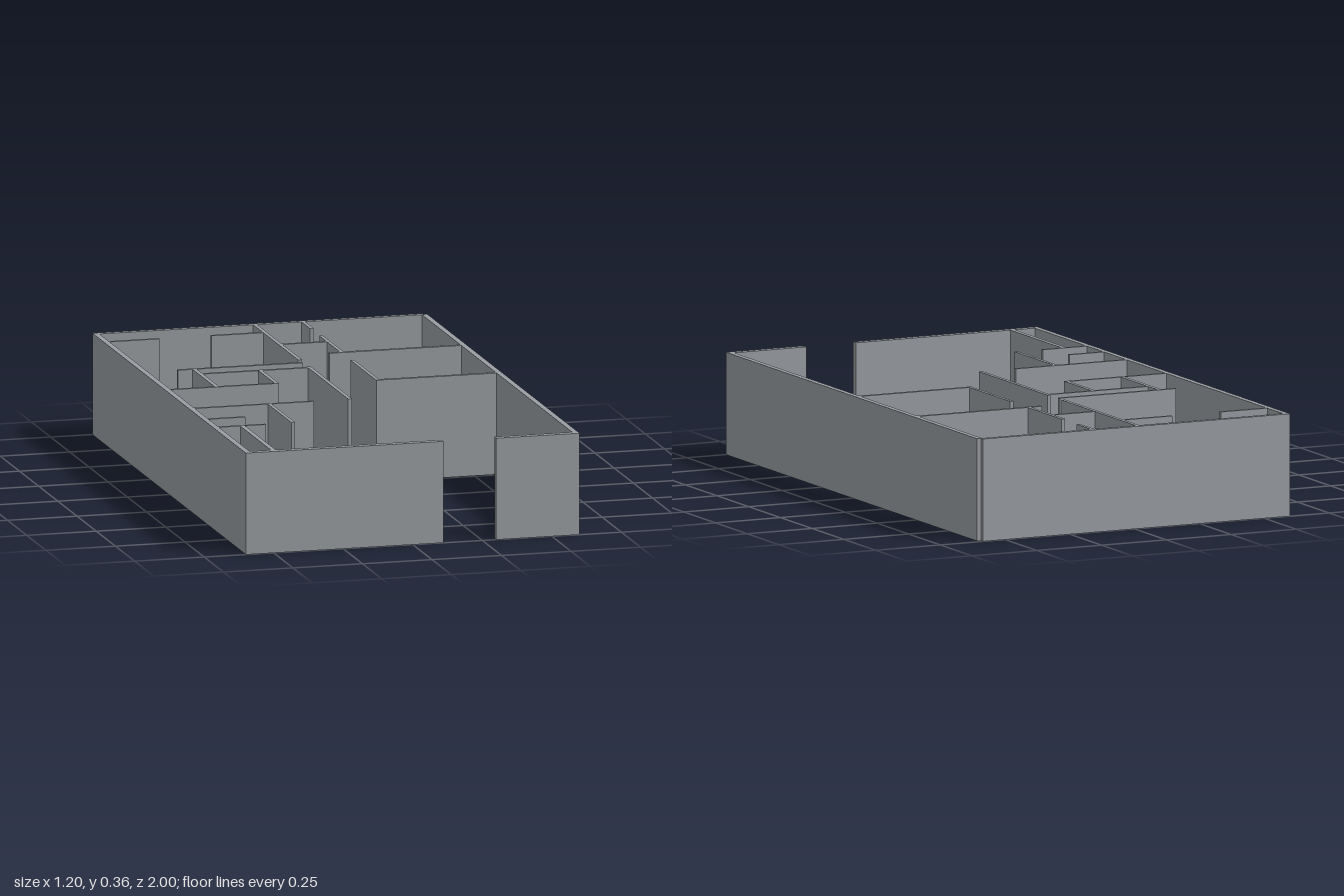
import * as THREE from 'three';

const HEIGHT = 0.36;

// Each wall is a plan rectangle: [name, x min, x max, z min, z max]
const OUTER = [
  ['leftSideOuterWall', 0.58, 0.6, -0.985, 1],
  ['rightSideOuterWall', -0.6, -0.58, -0.98, 1],
  ['backOuterWall', -0.6, 0.585, -1, -0.98],
  ['frontOuterWallLong', -0.58, 0.11, 0.975, 1],
  ['frontOuterWallShort', 0.3, 0.58, 0.975, 1],
];

const INNER = [
  // back rooms
  ['closetWallA', -0.58, -0.4, -0.861, -0.848],
  ['closetWallB', -0.214, -0.027, -0.861, -0.848],
  ['backHallWall', -0.027, -0.013, -0.98, -0.395],
  ['backDoorStub', 0.147, 0.16, -0.98, -0.87],
  ['backRoomWall', 0.147, 0.16, -0.75, -0.484],
  ['storeWall', -0.013, 0.147, -0.662, -0.648],
  ['backRoomDivider', 0.105, 0.58, -0.484, -0.468],
  // middle room on the model's left
  ['middleRoomSide', 0.147, 0.16, -0.344, -0.024],
  ['middleRoomFront', 0.147, 0.58, -0.024, -0.008],
  // bathroom block
  ['bathBackWall', -0.473, -0.024, -0.36, -0.346],
  ['bathSideWall', -0.42, -0.405, -0.346, -0.063],
  ['bathInnerWall', -0.405, -0.027, -0.278, -0.264],
  ['bathDivider', -0.205, -0.191, -0.264, -0.063],
  ['bathFrontWall', -0.58, -0.191, -0.063, -0.05],
  ['hallWall', -0.027, -0.013, -0.285, 0.255],
  // front rooms
  ['kitchenWall', -0.58, -0.152, 0.249, 0.262],
  ['kitchenSideWall', -0.317, -0.304, 0.262, 0.57],
  ['pantryStub', -0.58, -0.447, 0.428, 0.441],
  ['pantryWall', -0.58, -0.41, 0.562, 0.575],
  ['frontClosetWall', -0.503, -0.486, 0.575, 0.975],
];

export function createModel() {
  const model = new THREE.Group();
  model.name = 'floorPlan';
  const wallGrey = new THREE.MeshStandardMaterial({ color: 0x9a9ea3 });
  wallGrey.name = 'wall grey';

  const addWalls = (groupName, walls) => {
    const group = new THREE.Group();
    group.name = groupName;
    for (const [name, x0, x1, z0, z1] of walls) {
      const wall = new THREE.Mesh(new THREE.BoxGeometry(x1 - x0, HEIGHT, z1 - z0), wallGrey);
      wall.position.set((x0 + x1) / 2, HEIGHT / 2, (z0 + z1) / 2);
      wall.name = name;
      group.add(wall);
    }
    model.add(group);
  };

  addWalls('outerWalls', OUTER);
  addWalls('innerWalls', INNER);
  return model;
}
